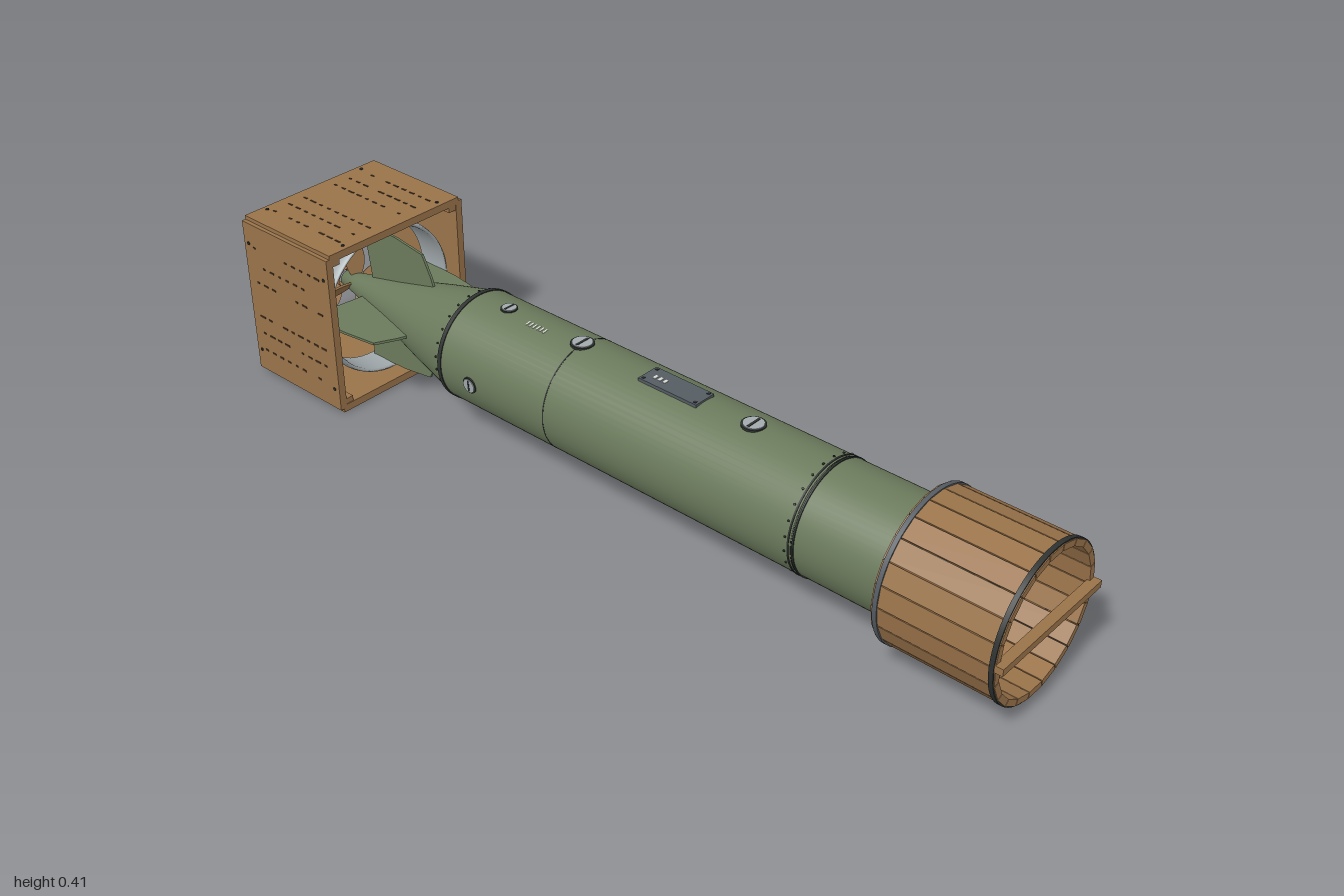
import * as THREE from 'three';

const mat = (name, color, side = THREE.FrontSide) => {
  const m = new THREE.MeshStandardMaterial({ color, side });
  m.name = name;
  return m;
};

export function createModel() {
  const green = mat('olive green', 0x6b7a5c);
  const wood = mat('wood', 0x9a734a);
  const darkWood = mat('dark wood', 0x4a3622);
  const steel = mat('light steel', 0xa3abae);
  const plateGrey = mat('plate grey', 0x555c62);
  const dark = mat('dark metal', 0x2e3230);
  const white = mat('white paint', 0xd8dad2);

  const root = new THREE.Group();
  root.name = 'torpedo';
  const axis = new THREE.Group(); // everything is placed around the long axis
  axis.name = 'axis';
  axis.position.y = 0.204;
  root.add(axis);

  const add = (name, geo, m, x = 0, y = 0, z = 0, parent = axis) => {
    const mesh = new THREE.Mesh(geo, m);
    mesh.name = name;
    mesh.position.set(x, y, z);
    parent.add(mesh);
    return mesh;
  };
  const box = (name, m, sx, sy, sz, x, y, z, parent) =>
    add(name, new THREE.BoxGeometry(sx, sy, sz), m, x, y, z, parent);
  // Lathe round the x axis from [x, radius] pairs
  const turn = (name, pts, m, seg = 64) =>
    add(name, new THREE.LatheGeometry(pts.map(([x, r]) => new THREE.Vector2(r, x)), seg).rotateZ(-Math.PI / 2), m);
  const band = (name, x0, x1, rIn, rOut, m) => {
    const g = new THREE.Group();
    g.name = name;
    axis.add(g);
    [[[x0, rIn], [x0, rOut]], [[x0, rOut], [x1, rOut]], [[x1, rOut], [x1, rIn]], [[x1, rIn], [x0, rIn]]]
      .forEach((p) => g.add(turn(name + 'Face', p, m)));
  };
  // Group turned round the x axis
  const spoke = (name, angle) => {
    const g = new THREE.Group();
    g.name = name;
    g.rotation.x = angle;
    axis.add(g);
    return g;
  };

  // Hull: tail cone, body, round nose
  turn('tailCone', [[-0.9, 0.0], [-0.9, 0.018], [-0.85, 0.027], [-0.71, 0.06], [-0.58, 0.094], [-0.45, 0.125]], green);
  turn('body', [[-0.45, 0.1265], [0.51, 0.1265]], green);
  turn('warheadSection', [[0.51, 0.1255], [0.775, 0.1255]], green);
  const dome = [];
  for (let i = 0; i <= 16; i++) {
    const a = (i / 16) * Math.PI / 2;
    dome.push([0.775 + 0.1255 * Math.sin(a), Math.max(0, 0.1255 * Math.cos(a))]);
  }
  turn('nose', dome, green);

  // Joint bands and rivets
  band('tailBand', -0.453, -0.443, 0.12, 0.1285, dark);
  band('bodySeam', -0.139, -0.136, 0.12, 0.1269, dark);
  band('noseBandRear', 0.502, 0.506, 0.12, 0.1278, dark);
  band('noseBandFront', 0.513, 0.517, 0.12, 0.1278, dark);
  const rivet = new THREE.CylinderGeometry(0.0025, 0.0025, 0.004, 8);
  for (let i = 0; i < 24; i++) {
    const g = spoke('rivets', (i + 0.5) * Math.PI / 12);
    add('tailRivet', rivet, dark, -0.464, 0.1222, 0, g);
    add('noseRivet', rivet, dark, 0.496, 0.1268, 0, g);
  }

  // Round caps with slots on the hull
  const cap = (x, r, angle) => {
    const g = spoke('cap', angle);
    add('capRim', new THREE.CylinderGeometry(r, r, 0.012, 24), dark, x, 0.1225, 0, g);
    add('capFace', new THREE.CylinderGeometry(r * 0.86, r * 0.86, 0.003, 24), steel, x, 0.129, 0, g);
    box('capSlot', dark, r * 0.22, 0.002, r * 1.4, x, 0.1305, 0, g);
  };
  cap(-0.355, 0.019, 0);
  cap(-0.14, 0.026, 0);
  cap(0.315, 0.026, 0);
  cap(-0.355, 0.019, Math.PI / 2 + 0.07);
  cap(-0.355, 0.019, -Math.PI / 2 - 0.07);

  // Top access plate and paint ticks
  box('accessPlate', plateGrey, 0.152, 0.008, 0.056, 0.116, 0.1265, 0);
  [-1, 1].forEach((sx) => [-1, 1].forEach((sz) =>
    box('plateScrew', dark, 0.006, 0.002, 0.006, 0.116 + sx * 0.068, 0.131, sz * 0.021)));
  for (let i = 0; i < 3; i++) box('plateMark', white, 0.007, 0.001, 0.012, 0.065 + i * 0.013, 0.131, 0.003);
  for (let i = 0; i < 6; i++) {
    const g = spoke('paintTick', 0.13);
    box('tick', white, 0.004, 0.002, 0.014, -0.282 + i * 0.01, 0.1264, 0, g);
  }

  // Four tail fins
  const finShape = new THREE.Shape([[-0.8, 0.025], [-0.59, 0.08], [-0.6, 0.11], [-0.625, 0.16], [-0.71, 0.172], [-0.82, 0.176]]
    .map(([x, y]) => new THREE.Vector2(x, y)));
  const finGeo = new THREE.ExtrudeGeometry(finShape, { depth: 0.006, bevelEnabled: false }).translate(0, 0, -0.003);
  for (let i = 0; i < 4; i++) add('fin', finGeo, green, 0, 0, 0, spoke('tailFin', i * Math.PI / 2));

  // Shroud ring round the tail
  turn('shroudRing', [[-0.83, 0.175], [-0.83, 0.179], [-0.8, 0.183], [-0.765, 0.184], [-0.752, 0.181],
    [-0.75, 0.177], [-0.755, 0.174], [-0.8, 0.173], [-0.83, 0.175]], steel);

  // Two contra-rotating propellers
  const bladeShape = new THREE.Shape();
  bladeShape.moveTo(-0.008, 0.015);
  bladeShape.bezierCurveTo(-0.03, 0.05, -0.028, 0.1, 0, 0.105);
  bladeShape.bezierCurveTo(0.028, 0.1, 0.03, 0.05, 0.008, 0.015);
  const bladeGeo = new THREE.ExtrudeGeometry(bladeShape, { depth: 0.005, bevelEnabled: false, curveSegments: 10 }).translate(0, 0, -0.0025);
  [[-0.865, 1], [-0.915, -1]].forEach(([x, dir], k) => {
    for (let i = 0; i < 4; i++) {
      const g = spoke('propeller', (i + k * 0.5) * Math.PI / 2);
      add('blade', bladeGeo, wood, x, 0, 0, g).rotation.y = dir * 0.9;
    }
    turn('hub', [[x - 0.02, 0], [x - 0.02, 0.02], [x + 0.02, 0.026]], wood, 24);
  });
  turn('spinner', [[-0.96, 0], [-0.955, 0.008], [-0.935, 0.017]], wood, 24);

  // Wooden box tail: four boards, corner blocks, nails and grooves
  const L = 0.29, bx = -0.855;
  [-1, 1].forEach((s) => {
    box('boxBoard', wood, L, 0.018, 0.384, bx, s * 0.1925, 0);
    box('boxSide', wood, L, 0.384, 0.018, bx, 0, s * 0.1925);
    [-1, 1].forEach((t) => box('cornerBlock', wood, L - 0.004, 0.014, 0.022, bx, s * 0.177, t * 0.174));
  });
  let seed = 7;
  const rnd = () => (seed = (seed * 16807) % 2147483647) / 2147483647;
  for (let f = 0; f < 4; f++) {
    const g = spoke('boxFace', f * Math.PI / 2);
    [-0.134, -0.089, -0.045, 0.045, 0.089, 0.134].forEach((z) => {
      for (let i = 0; i < 9; i++) {
        if (rnd() < 0.25) continue;
        box('grooveDash', darkWood, 0.006 + rnd() * 0.012, 0.002, 0.004, -0.965 + i * 0.027, 0.202, z, g);
      }
    });
    [-0.985, -0.725].forEach((x) => [-0.14, 0.14].forEach((z) =>
      add('nail', new THREE.CylinderGeometry(0.004, 0.004, 0.003, 10), dark, x, 0.202, z, g)));
  }

  // Wooden drum round the nose: separate staves
  const N = 22, half = Math.PI / N - 0.007;
  const corner = (r, a) => new THREE.Vector2(r * Math.sin(a), r * Math.cos(a));
  const stave = new THREE.ExtrudeGeometry(
    new THREE.Shape([corner(0.15, -half), corner(0.15, half), corner(0.1645, half), corner(0.1645, -half)]),
    { depth: 0.262, bevelEnabled: false }).rotateY(Math.PI / 2);
  for (let i = 0; i < N; i++) add('stave', stave, wood, 0.722, 0, 0, spoke('drumStave', i * 2 * Math.PI / N));
  band('drumBandRear', 0.726, 0.736, 0.162, 0.1665, plateGrey);
  band('drumBandFront', 0.972, 0.982, 0.162, 0.1665, dark);
  for (let i = 0; i < 4; i++) box('drumStrut', dark, 0.012, 0.03, 0.005, 0.745, 0.138, 0, spoke('strut', i * Math.PI / 2));

  // Bar across the drum mouth
  box('crossBar', wood, 0.022, 0.016, 0.33, 0.989, 0, 0);

  return root;
}
